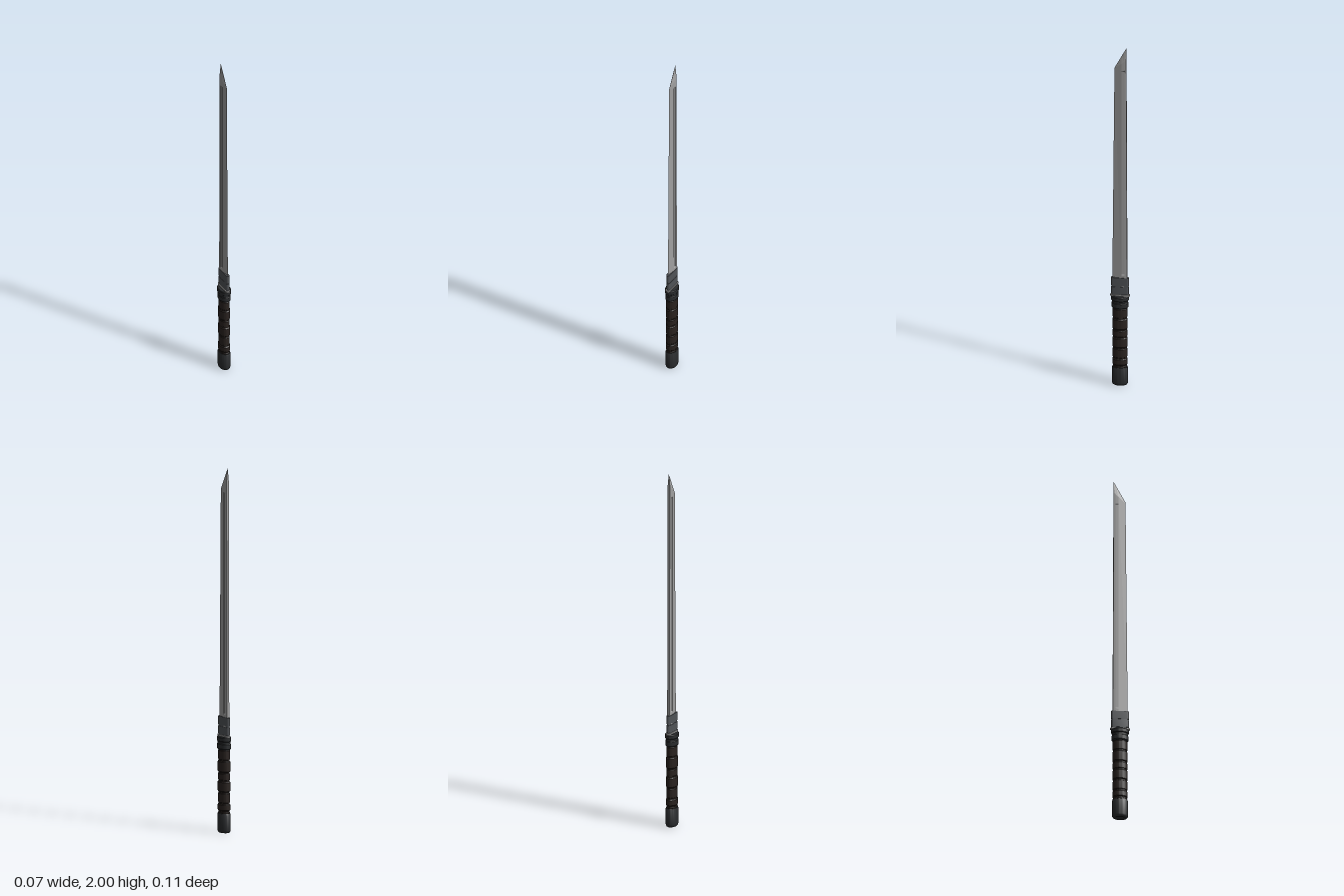
import * as THREE from 'three';
import { toCreasedNormals } from 'three/addons/utils/BufferGeometryUtils.js';

const mat = (color) => new THREE.MeshStandardMaterial({ color });
const steel = mat(0xa0a0a0), collarGrey = mat(0x505357), black = mat(0x2a2c2e), leather = mat(0x2a2320);

function add(parent, name, geometry, material) {
  const mesh = new THREE.Mesh(geometry, material);
  mesh.name = name;
  parent.add(mesh);
  return mesh;
}

// Oval turned part: profile of [z radius, y], squashed across x
function oval(profile, squash = 0.7) {
  const g = new THREE.LatheGeometry(profile.map(([r, y]) => new THREE.Vector2(r, y)), 40);
  g.scale(squash, 1, 1);
  return toCreasedNormals(g, 0.6);
}

// Closed oval band with bevelled rims
const band = (r, y0, y1, b, squash) => oval(
  [[0, y0], [r - b, y0], [r, y0 + b], [r, y1 - b], [r - b, y1], [0, y1]], squash);

// Flat plate with rounded ends, half width w in x, half length l in z
function capsule(w, l, y0, y1) {
  const s = new THREE.Shape();
  s.absarc(0, l - w, w, 0, Math.PI, false);
  s.absarc(0, -(l - w), w, Math.PI, Math.PI * 2, false);
  const g = new THREE.ExtrudeGeometry(s, { depth: y1 - y0, bevelEnabled: false, curveSegments: 10 });
  g.rotateX(-Math.PI / 2).translate(0, y0, 0);
  return toCreasedNormals(g, 0.6);
}

// Wedge section with a flat spine and a groove on both sides, lofted upwards
function bladeGeometry() {
  const tipY = (z) => 1.88 + (0.03 - z) / 0.065 * 0.12;
  const ring = (edge, spine, groove, yAt, thick = 1) => {
    const half = [[-0.008, 0.008], [-0.01, 0.008 - groove], [-0.024, 0.008 - groove], [-0.026, 0.008], [spine, 0.007]];
    const pts = [[edge, 0], ...half, ...half.slice().reverse().map(([z, x]) => [z, -x])];
    return pts.map(([z, x]) => [x * thick, yAt(z), z]);
  };
  const level = (y, groove) => {
    const t = (y - 0.6) / 1.28;
    return ring(0.042 - 0.012 * t, -0.04 + 0.005 * t, groove, () => y);
  };
  const rings = [
    level(0.56, 0), level(0.65, 0), level(0.655, 0.003), level(1.86, 0.003), level(1.868, 0),
    ring(0.03, -0.035, 0, (z) => 1.872 + (0.03 - z) / 0.065 * 0.06),
    ring(0.03, -0.035, 0, tipY, 0.08),
  ];
  const n = rings[0].length, index = [];
  for (let i = 0; i < rings.length - 1; i++) {
    for (let j = 0; j < n; j++) {
      const a = i * n + j, b = i * n + (j + 1) % n;
      index.push(a, b, a + n, b, b + n, a + n);
    }
  }
  // Narrow cap along the slanted point
  const last = (rings.length - 1) * n;
  for (let j = 1; j < n - 1; j++) index.push(last, last + j, last + j + 1);
  const g = new THREE.BufferGeometry();
  g.setAttribute('position', new THREE.Float32BufferAttribute(rings.flat(2), 3));
  g.setIndex(index);
  const flat = g.toNonIndexed();
  flat.computeVertexNormals();
  return flat;
}

export function createModel() {
  const model = new THREE.Group();
  model.name = 'sword';

  add(model, 'blade', bladeGeometry(), steel);

  // Stepped collar clasping the blade root
  const collar = new THREE.Group();
  collar.name = 'collar';
  model.add(collar);
  add(collar, 'collarCore', capsule(0.008, 0.046, 0.52, 0.625), collarGrey);
  add(collar, 'collarLower', capsule(0.010, 0.048, 0.54, 0.58), collarGrey);
  add(collar, 'collarUpper', capsule(0.010, 0.05, 0.588, 0.634), collarGrey);
  add(collar, 'collarPlate', capsule(0.013, 0.054, 0.526, 0.534), steel);

  // Hilt rings below the collar
  add(model, 'upperRing', band(0.048, 0.5, 0.526, 0.004), black);
  add(model, 'ringNeck', band(0.043, 0.485, 0.505, 0.002), black);
  add(model, 'lowerRing', band(0.046, 0.456, 0.492, 0.006), black);

  // Wrapped grip: raised bands over a slimmer core
  const grip = new THREE.Group();
  grip.name = 'grip';
  model.add(grip);
  add(grip, 'gripCore', band(0.037, 0.09, 0.465, 0.002), leather);
  const joints = [0.1, 0.118, 0.16, 0.222, 0.284, 0.33, 0.396, 0.458];
  for (let i = 0; i < joints.length - 1; i++) {
    const r = i % 2 ? 0.042 : 0.0395;
    add(grip, 'gripBand', band(r, joints[i] + 0.002, joints[i + 1] - 0.002, 0.005), leather);
  }

  // Pommel with a rounded foot
  add(model, 'pommel', oval([
    [0, 0], [0.034, 0], [0.039, 0.003], [0.0425, 0.009], [0.044, 0.018],
    [0.044, 0.1], [0.041, 0.106], [0, 0.106],
  ]), black);

  return model;
}
